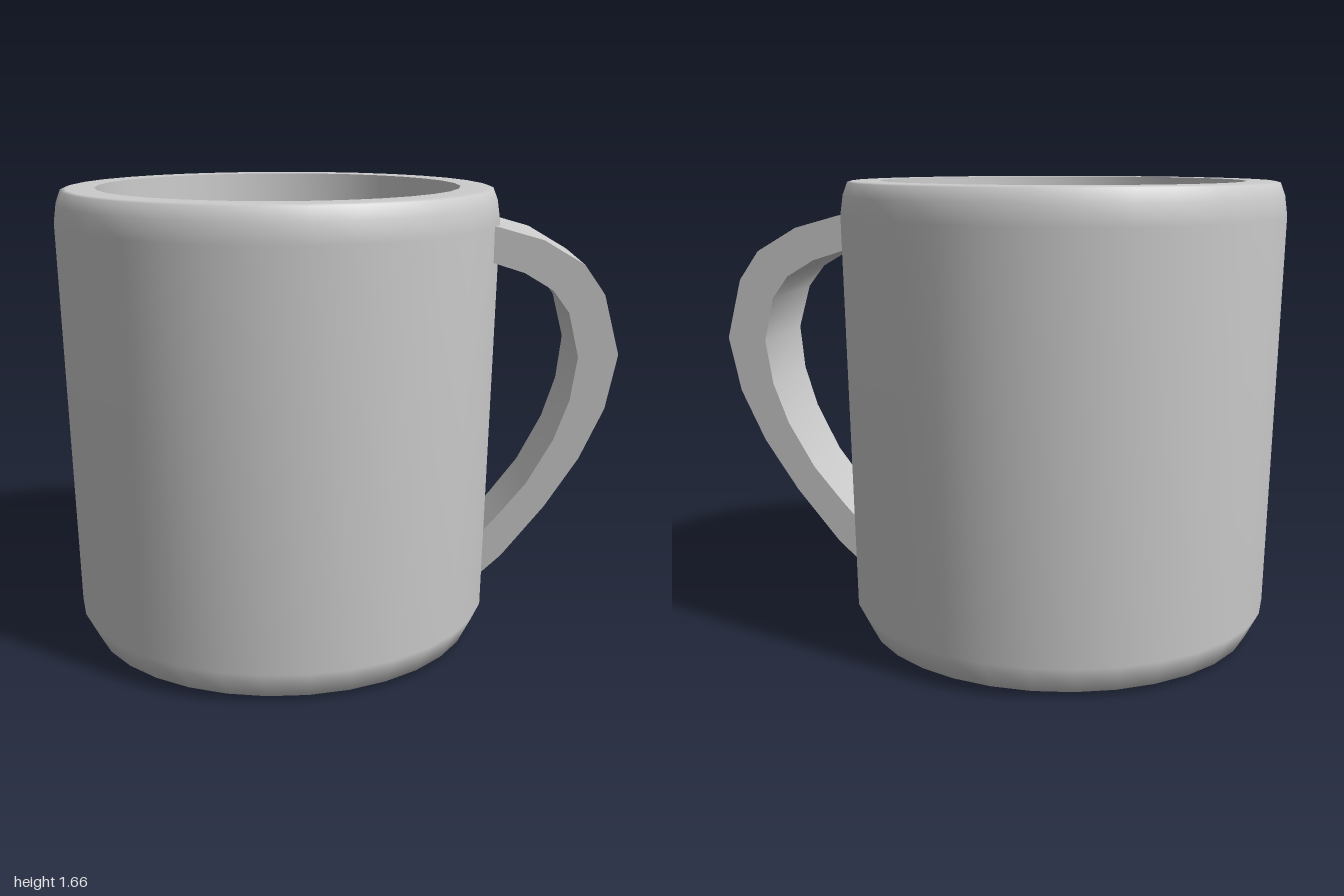
import * as THREE from 'three';
import { toCreasedNormals } from 'three/addons/utils/BufferGeometryUtils.js';

const points = (list) => list.map(([x, y]) => new THREE.Vector2(x, y));

export function createModel() {
  const group = new THREE.Group();
  const material = new THREE.MeshStandardMaterial({ color: 0xcccccc });
  const add = (name, geometry, x = 0) => {
    const mesh = new THREE.Mesh(geometry, material);
    mesh.name = name;
    mesh.position.x = x;
    group.add(mesh);
  };
  const cupX = -0.205;

  // Outer shell: base, bevelled foot, slightly flared wall, bevelled rim
  add('cupOuter', new THREE.LatheGeometry(points([
    [0, 0], [0.6, 0.01], [0.715, 0.02], [0.765, 0.12], [0.795, 1.54],
    [0.785, 1.61], [0.768, 1.655], [0.75, 1.66], [0.65, 1.66],
  ]), 32), cupX);

  // Inner wall and rounded floor
  add('cupInner', new THREE.LatheGeometry(points([
    [0.65, 1.66], [0.625, 0.3], [0.58, 0.19], [0.48, 0.15], [0, 0.14],
  ]), 32), cupX);

  // Handle: side outline extruded, then widened towards the top
  const outer = [
    [0.5, 1.55], [0.56, 1.54], [0.72, 1.495], [0.865, 1.41], [0.94, 1.305], [1, 1.09],
    [0.965, 0.89], [0.885, 0.7], [0.77, 0.51], [0.62, 0.31], [0.555, 0.245], [0.5, 0.2],
  ];
  const inner = [
    [0.5, 0.35], [0.55, 0.41], [0.6, 0.47], [0.7, 0.6], [0.79, 0.77], [0.84, 0.92],
    [0.86, 1.08], [0.82, 1.24], [0.76, 1.32], [0.66, 1.38], [0.55, 1.415], [0.5, 1.425],
  ];
  const handle = new THREE.ExtrudeGeometry(new THREE.Shape(points([...outer, ...inner])), {
    depth: 2, bevelEnabled: false,
  });
  handle.translate(0, 0, -1);
  const pos = handle.attributes.position;
  for (let i = 0; i < pos.count; i++) {
    const halfWidth = THREE.MathUtils.mapLinear(pos.getY(i), 0.24, 1.54, 0.13, 0.235);
    pos.setZ(i, pos.getZ(i) * halfWidth);
  }
  add('handle', toCreasedNormals(handle, 0.8));

  return group;
}
